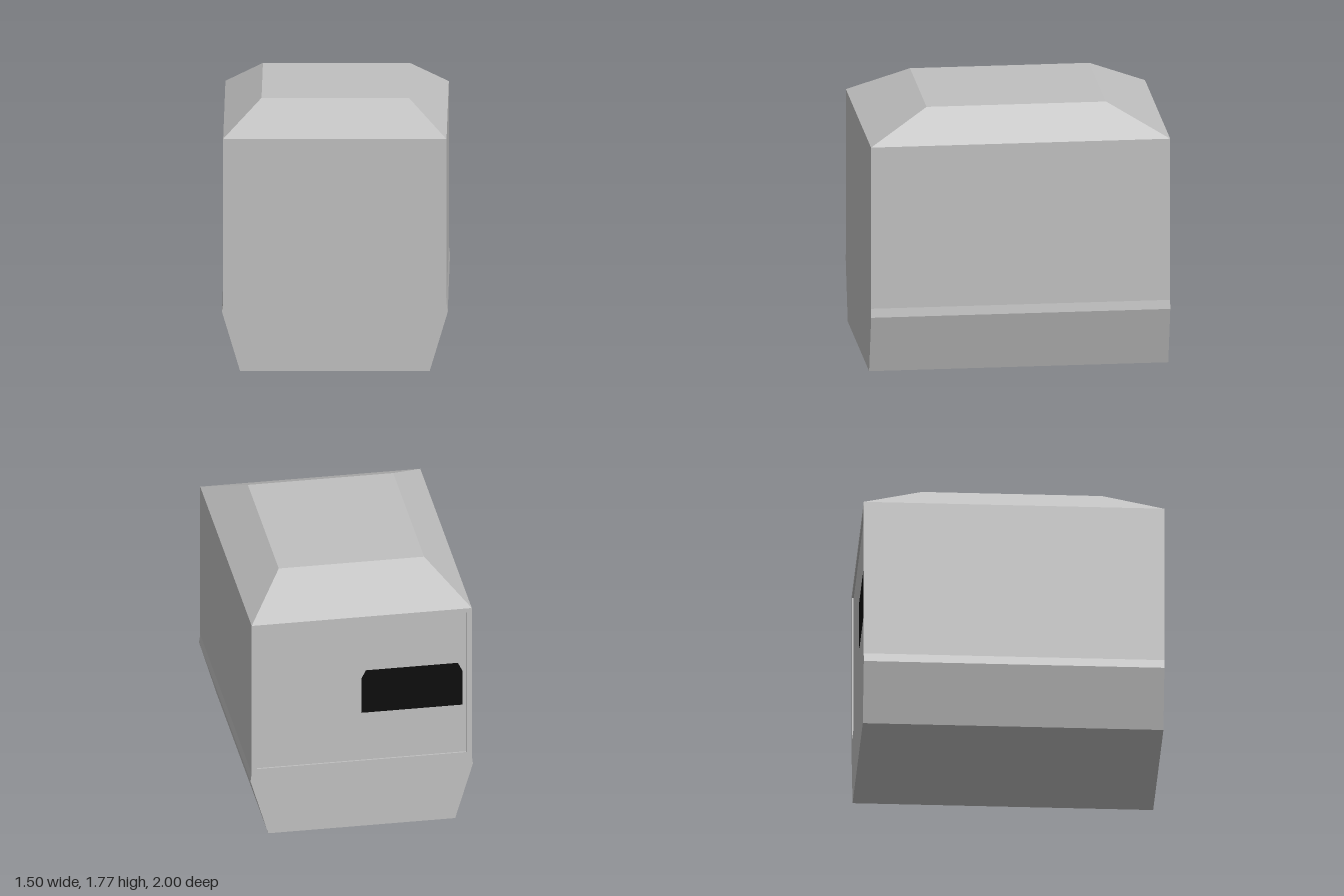
import * as THREE from 'three';

const HALF = 0.742, EAVES = 1.57, TOP = 1.77, RECESS = 0.012;

function points(list) {
  return list.map(([x, y]) => new THREE.Vector2(x, y));
}

// Extrudes a shape along z between two depths
function slab(shape, z0, z1) {
  const geo = new THREE.ExtrudeGeometry(shape, { depth: z1 - z0, bevelEnabled: false });
  return geo.translate(0, 0, z0);
}

// Cross-section of the container below the roof
function hullShape() {
  const right = [[0.63, 0], [0.75, 0.4], [HALF, 0.46], [HALF, EAVES]];
  const left = right.map(([x, y]) => [-x, y]).reverse();
  return new THREE.Shape(points([...right, ...left]));
}

export function createModel() {
  const group = new THREE.Group();
  const metal = new THREE.MeshStandardMaterial({ color: 0xc0c0c0 });
  metal.name = 'greyMetal';
  const black = new THREE.MeshStandardMaterial({ color: 0x0b0b0b });
  black.name = 'black';

  const add = (name, geo, mat) => {
    const mesh = new THREE.Mesh(geo, mat);
    mesh.name = name;
    group.add(mesh);
  };

  // Main hull; its back end is the floor of the door recess
  add('hull', slab(hullShape(), -1 + RECESS, 1), metal);

  // Frame around the recessed back door
  const frame = hullShape();
  frame.holes.push(new THREE.Path(points([
    [-0.705, 0.49], [-0.705, 1.54], [0.705, 1.54], [0.705, 0.49],
  ])));
  add('doorFrame', slab(frame, -1, -1 + RECESS), metal);

  // Hipped roof: a box with its top drawn in
  let roof = new THREE.BoxGeometry(HALF * 2, TOP - EAVES, 2);
  const pos = roof.attributes.position;
  for (let i = 0; i < pos.count; i++) {
    if (pos.getY(i) > 0) {
      pos.setX(i, Math.sign(pos.getX(i)) * 0.49);
      pos.setZ(i, Math.sign(pos.getZ(i)) * 0.6);
    }
  }
  roof = roof.toNonIndexed();
  roof.computeVertexNormals();
  roof.translate(0, (TOP + EAVES) / 2, 0);
  add('roof', roof, metal);

  // Black plate on the door, with clipped upper corners
  const plate = new THREE.Shape(points([
    [-0.68, 0.845], [0, 0.845], [0, 1.1], [-0.03, 1.16], [-0.65, 1.16], [-0.68, 1.1],
  ]));
  add('doorPlate', slab(plate, -1 + RECESS - 0.004, -1 + RECESS), black);

  return group;
}
